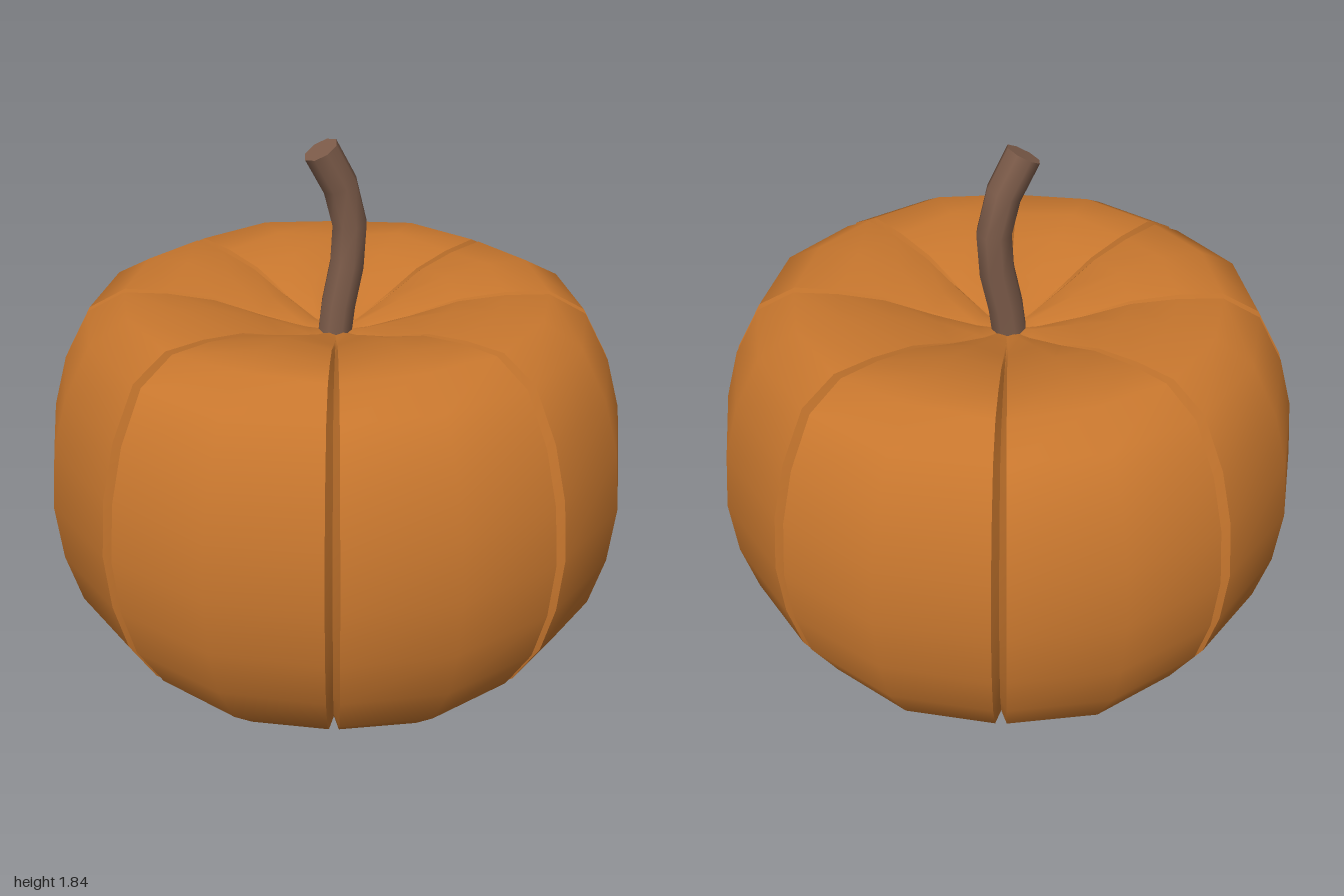
import * as THREE from 'three';
import { mergeVertices } from 'three/addons/utils/BufferGeometryUtils.js';

const RIBS = 8;
const HALF = Math.PI / RIBS;      // half the angle one rib fills
const EDGE = HALF - 0.023;        // where the rib face ends and the groove wall begins

// Rib centre line (radius, height), from the bottom dimple to the top dimple
const profile = [
  [0, 0.12], [0.1, 0.085], [0.24, 0.03], [0.4, 0.004], [0.56, 0.01], [0.71, 0.06], [0.83, 0.17],
  [0.93, 0.34], [0.98, 0.52], [1, 0.72], [0.98, 0.92], [0.93, 1.1], [0.84, 1.27],
  [0.71, 1.342], [0.56, 1.35], [0.4, 1.325], [0.24, 1.27], [0.1, 1.215], [0, 1.19],
].map(([r, y]) => new THREE.Vector2(r, y));

// Centre line pushed inwards along its normal by depth(radius)
function inset(depth) {
  return profile.map((p, i) => {
    const a = profile[Math.max(i - 1, 0)];
    const b = profile[Math.min(i + 1, profile.length - 1)];
    const t = b.clone().sub(a).normalize();
    const d = depth(p.x);
    return new THREE.Vector2(Math.max(p.x - t.y * d, 0), p.y + t.x * d);
  });
}

const edgeLine = inset((r) => (r > 0.65 ? 0.012 : 0.025 * Math.min(1, r / 0.2)));
const grooveLine = inset((r) => 0.055 * Math.min(1, r / 0.45));

// Smooth sheet through columns of { angle, line }
function sheet(columns) {
  const rows = profile.length;
  const n = columns.length;
  const positions = [];
  const index = [];
  for (let i = 0; i < rows; i++) {
    for (const { angle, line } of columns) {
      positions.push(Math.sin(angle) * line[i].x, line[i].y, Math.cos(angle) * line[i].x);
    }
  }
  for (let i = 0; i < rows - 1; i++) {
    for (let j = 0; j < n - 1; j++) {
      const a = i * n + j;
      const c = a + n;
      if (i > 0) index.push(a, a + 1, c + 1);
      if (i < rows - 2) index.push(a, c + 1, c);
      else index.push(a, a + 1, c);
      if (i === 0) index.push(a, c + 1, c);
      if (i === rows - 2) index.splice(-6, 3);
    }
  }
  const geometry = new THREE.BufferGeometry();
  geometry.setAttribute('position', new THREE.Float32BufferAttribute(positions, 3));
  geometry.setIndex(index);
  const merged = mergeVertices(geometry);
  merged.computeVertexNormals();
  return merged;
}

function createStem(material) {
  const stem = new THREE.Group();
  stem.name = 'stem';
  const path = new THREE.CatmullRomCurve3([
    [-0.01, 1.15], [0.01, 1.3], [0.04, 1.44], [0.045, 1.585], [0.01, 1.705], [-0.053, 1.82],
  ].map(([x, y]) => new THREE.Vector3(x, y, 0)));
  const stalk = new THREE.Mesh(new THREE.TubeGeometry(path, 5, 0.06, 8), material);
  stalk.name = 'stalk';
  // Flat cut at the tip
  const cut = new THREE.Mesh(new THREE.CircleGeometry(0.06, 8), material);
  cut.name = 'stemCut';
  cut.position.copy(path.getPoint(1));
  const tangent = path.getTangent(1);
  cut.lookAt(cut.position.clone().add(tangent));
  stem.add(stalk, cut);
  return stem;
}

export function createModel() {
  const model = new THREE.Group();
  model.name = 'pumpkin';
  const skin = new THREE.MeshStandardMaterial({ color: 0xc8772e, side: THREE.DoubleSide });
  const wood = new THREE.MeshStandardMaterial({ color: 0x7d5c4a });

  // One rib: a bulging face and two groove walls
  const pieces = {
    ribFace: sheet([
      { angle: -EDGE, line: edgeLine }, { angle: 0, line: profile }, { angle: EDGE, line: edgeLine },
    ]),
    grooveWallRight: sheet([{ angle: -HALF, line: grooveLine }, { angle: -EDGE, line: edgeLine }]),
    grooveWallLeft: sheet([{ angle: EDGE, line: edgeLine }, { angle: HALF, line: grooveLine }]),
  };

  for (let k = 0; k < RIBS; k++) {
    const rib = new THREE.Group();
    rib.name = `rib${k + 1}`;
    rib.rotation.y = k * 2 * HALF;
    for (const [name, geometry] of Object.entries(pieces)) {
      const mesh = new THREE.Mesh(geometry, skin);
      mesh.name = name;
      rib.add(mesh);
    }
    model.add(rib);
  }

  model.add(createStem(wood));
  return model;
}
